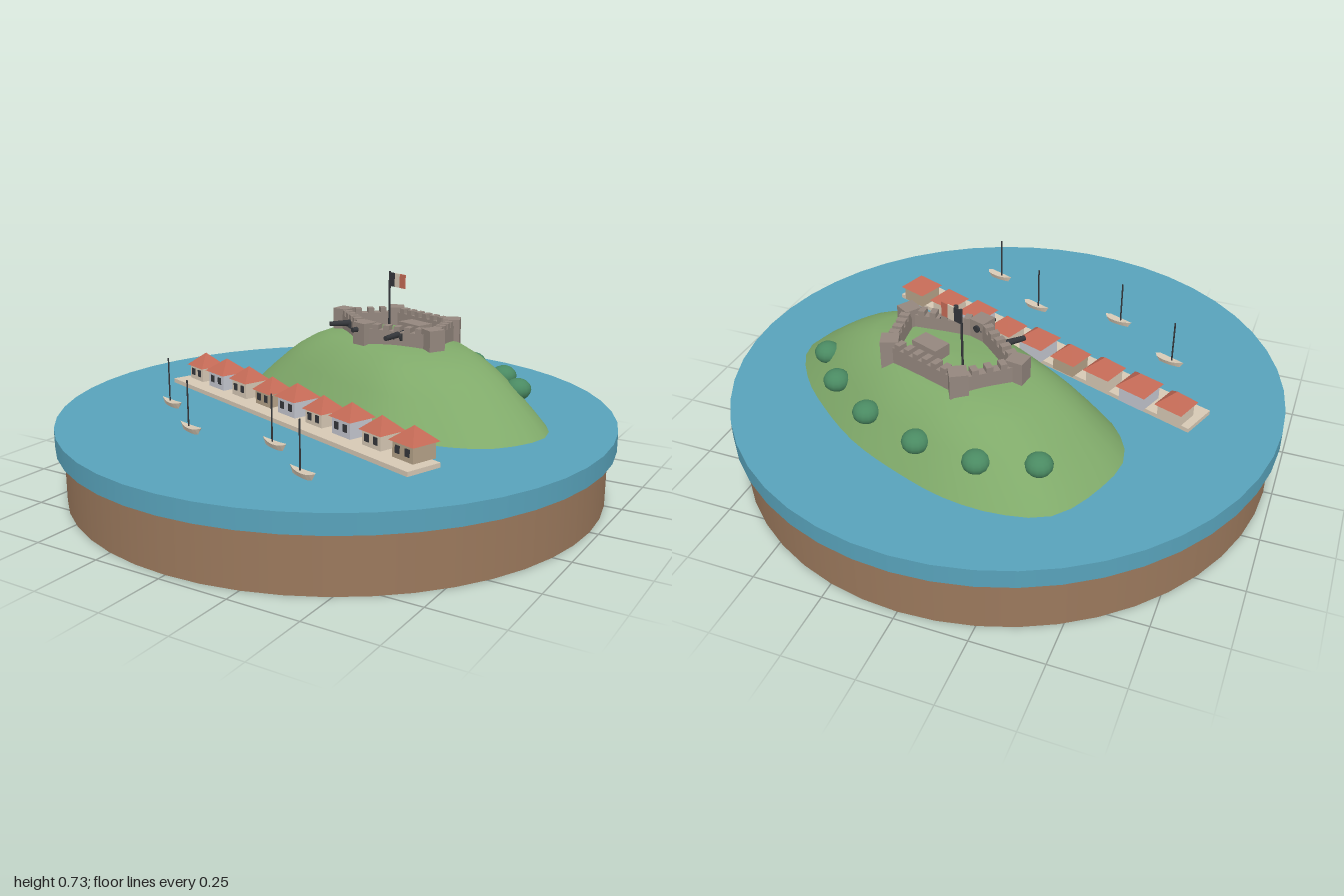
import * as THREE from 'three';

const mat = (name, color, side = THREE.FrontSide) => {
  const m = new THREE.MeshStandardMaterial({ color, side });
  m.name = name;
  return m;
};

export function createModel() {
  const model = new THREE.Group();
  model.name = 'islandDiorama';
  const M = {
    earth: mat('earth brown', 0x9a785c),
    sea: mat('sea blue', 0x58a2ba),
    grass: mat('grass green', 0x80aa6a),
    bush: mat('bush green', 0x4a8a62),
    stone: mat('stone', 0x94877e),
    roof: mat('terracotta', 0xc46a56),
    cream: mat('cream', 0xd6c8b4, THREE.DoubleSide),
    pale: mat('pale grey', 0xc4c6cf),
    tan: mat('tan', 0xb5a288),
    dark: mat('charcoal', 0x34363a),
  };
  const add = (parent, name, geo, material, x = 0, y = 0, z = 0, ry = 0) => {
    const mesh = new THREE.Mesh(geo, material);
    mesh.name = name;
    mesh.position.set(x, y, z);
    mesh.rotation.y = ry;
    parent.add(mesh);
    return mesh;
  };
  const group = (parent, name, x = 0, y = 0, z = 0, ry = 0) => {
    const g = new THREE.Group();
    g.name = name;
    g.position.set(x, y, z);
    g.rotation.y = ry;
    parent.add(g);
    return g;
  };
  const box = (w, h, d) => new THREE.BoxGeometry(w, h, d);
  const SKEW = -0.35; // shared heading of the waterfront

  // Round base and sea
  add(model, 'earthBase', new THREE.CylinderGeometry(0.97, 0.97, 0.2, 48), M.earth, 0, 0.1, 0);
  add(model, 'sea', new THREE.CylinderGeometry(1, 1, 0.068, 48), M.sea, 0, 0.234, 0);

  // Hill: one shoreline outline shrunk towards the summit
  const shore = [[-0.4, -0.67], [-0.24, -0.72], [-0.05, -0.71], [0.14, -0.65], [0.34, -0.56], [0.51, -0.44],
    [0.68, -0.28], [0.775, -0.11], [0.755, 0.005], [0.65, 0.14], [0.46, 0.2], [0.29, 0.21], [-0.02, 0.11],
    [-0.26, -0.02], [-0.45, -0.155], [-0.535, -0.315], [-0.5, -0.5]];
  const curve = new THREE.CatmullRomCurve3(shore.map(([x, z]) => new THREE.Vector3(x, 0, z)), true);
  const N = 48;
  const outline = curve.getSpacedPoints(N).slice(0, N);
  const cx = 0.11, cz = -0.27;
  const rings = [[1, 0.265], [0.92, 0.312], [0.78, 0.387], [0.7, 0.425], [0.6, 0.462], [0.48, 0.493], [0.3, 0.507], [0.001, 0.512]];
  const pos = [], idx = [];
  rings.forEach(([s, y], i) => outline.forEach((p, j) => {
    pos.push(cx + (p.x - cx) * s, y, cz + (p.z - cz) * s);
    if (i === rings.length - 1) return;
    const a = i * N + j, b = i * N + (j + 1) % N;
    idx.push(a, a + N, b, b, a + N, b + N);
  }));
  const hill = new THREE.BufferGeometry();
  hill.setAttribute('position', new THREE.Float32BufferAttribute(pos, 3));
  hill.setIndex(idx);
  hill.computeVertexNormals();
  add(model, 'hill', hill, M.grass);

  // Bushes along the back slope
  const bushGeo = new THREE.SphereGeometry(0.047, 14, 10);
  [[-0.32, -0.57], [-0.13, -0.625], [0.09, -0.6], [0.31, -0.515], [0.49, -0.385], [0.605, -0.24]].forEach(([x, z]) => {
    add(model, 'bush', bushGeo, M.bush, x, 0.375, z).scale.y = 0.82;
  });

  // Quay with a row of houses
  const quay = group(model, 'waterfront', -0.07, 0.266, 0.195, SKEW);
  add(quay, 'quay', box(1.386, 0.018, 0.138), M.cream, 0, 0.009, 0);
  const walls = [M.cream, M.pale, M.cream, M.tan, M.pale, M.cream, M.pale, M.cream, M.tan];
  const sizes = [0.109, 0.122, 0.112, 0.109, 0.12, 0.109, 0.114, 0.11, 0.116];
  const heights = [0.056, 0.062, 0.062, 0.054, 0.062, 0.052, 0.062, 0.054, 0.058];
  for (let i = 0; i < 9; i++) {
    const w = sizes[i], h = heights[i], ww = w * 0.83;
    const house = group(quay, 'house', -0.006 + (i - 4) * 0.153, 0.017, -0.037);
    add(house, 'houseWalls', box(ww, h, ww), walls[i], 0, h / 2, 0);
    const roof = new THREE.ConeGeometry(w * Math.SQRT1_2, 0.05, 4, 1).rotateY(Math.PI / 4).toNonIndexed();
    roof.computeVertexNormals();
    add(house, 'houseRoof', roof, M.roof, 0, h + 0.024, 0);
    for (const s of [-1, 1])
      add(house, 'window', box(0.02, 0.026, 0.004), M.dark, s * ww * 0.24, h * 0.55, ww / 2 + 0.001);
  }

  // Five-sided fort: corner towers joined by battlemented walls
  const fort = group(model, 'fort');
  const corners = [[0, -0.452], [0.29, -0.35], [0.315, -0.144], [0.046, -0.126], [-0.155, -0.315]];
  corners.forEach(([x, z], i) => {
    const [x2, z2] = corners[(i + 1) % 5];
    const dx = x2 - x, dz = z2 - z, len = Math.hypot(dx, dz);
    const out = Math.atan2(x - 0.1, z + 0.28);
    add(fort, 'cornerTower', box(0.062, 0.135, 0.062), M.stone, x, 0.508, z, out);
    const wall = group(fort, 'curtainWall', (x + x2) / 2, 0, (z + z2) / 2, Math.atan2(-dz, dx));
    add(wall, 'wall', box(len, 0.115, 0.034), M.stone, 0, 0.4975, 0);
    const count = Math.max(3, Math.round((len - 0.06) / 0.042));
    for (let k = 0; k < count; k++)
      add(wall, 'merlon', box(0.023, 0.02, 0.034), M.stone, ((k + 0.5) / count - 0.5) * (len - 0.06), 0.563, 0);
  });
  add(fort, 'keep', box(0.11, 0.07, 0.066), M.stone, 0.165, 0.52, -0.297, SKEW);

  // Cannons pointing out to sea: breech x,z then muzzle x,z
  [[-0.045, -0.228, -0.118, -0.148], [0.19, -0.15, 0.18, -0.04], [0.055, -0.165, 0.02, -0.08]].forEach(([x, z, x2, z2], i) => {
    const dx = x2 - x, dz = z2 - z, len = Math.hypot(dx, dz);
    const cannon = group(fort, 'cannon', (x + x2) / 2, i === 2 ? 0.55 : 0.545, (z + z2) / 2, Math.atan2(dx, dz));
    add(cannon, 'barrel', new THREE.CylinderGeometry(0.009, 0.013, len, 10).rotateX(Math.PI / 2), M.dark);
    for (const s of [-1, 1])
      add(cannon, 'wheel', new THREE.CylinderGeometry(0.014, 0.014, 0.006, 10).rotateZ(Math.PI / 2), M.dark, s * 0.015, -0.008, -len * 0.25);
  });

  // Flagpole and three-striped flag
  const flag = group(model, 'flag', 0.033, 0, -0.335, SKEW);
  add(flag, 'flagpole', new THREE.CylinderGeometry(0.004, 0.004, 0.24, 8), M.dark, 0, 0.612, 0);
  [M.dark, M.cream, M.roof].forEach((m, i) =>
    add(flag, 'flagStripe', box(0.028, 0.052, 0.005), m, 0.017 + i * 0.028, 0.702, 0));

  // Moored boats: pointed plan, narrowed towards the keel, with raised ends
  const plan = new THREE.Shape();
  plan.moveTo(-0.062, 0);
  plan.quadraticCurveTo(-0.01, 0.022, 0.045, 0.014);
  plan.lineTo(0.058, 0);
  plan.lineTo(0.045, -0.014);
  plan.quadraticCurveTo(-0.01, -0.022, -0.062, 0);
  const hull = new THREE.ExtrudeGeometry(plan, { depth: 0.018, bevelEnabled: false, curveSegments: 6 }).rotateX(-Math.PI / 2);
  const hp = hull.attributes.position;
  for (let i = 0; i < hp.count; i++) {
    const x = hp.getX(i), y = hp.getY(i);
    if (y < 0.009) hp.setXYZ(i, x * 0.75, y, hp.getZ(i) * 0.55);
    else hp.setY(i, y + 2 * x * x);
  }
  hull.computeVertexNormals();
  [[-0.535, 0.285], [-0.28, 0.49], [0.06, 0.48], [0.288, 0.66]].forEach(([x, z]) => {
    const boat = group(model, 'boat', x, 0.267, z, SKEW + 0.05);
    add(boat, 'hull', hull, M.cream);
    add(boat, 'mast', new THREE.CylinderGeometry(0.003, 0.003, 0.175, 6), M.dark, -0.012, 0.093, 0);
  });

  return model;
}
